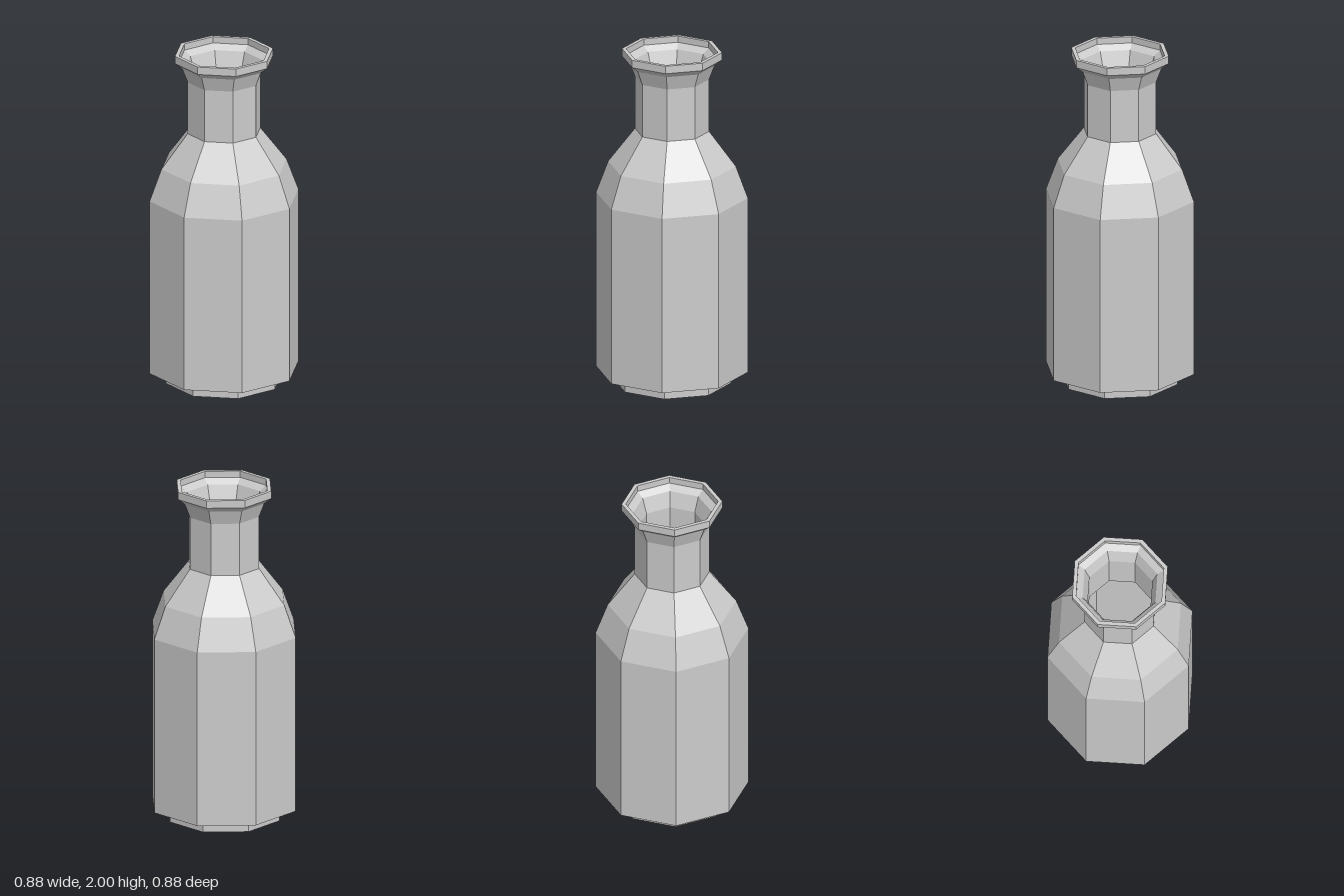
import * as THREE from 'three';

const SIDES = 8;

export function createModel() {
  const model = new THREE.Group();
  model.name = 'bottle';
  const material = new THREE.MeshStandardMaterial({ color: 0xcccccc, flatShading: true });

  // Turns a [radius, height] profile into an eight-sided surface
  const turn = (name, profile) => {
    const points = profile.map(([r, y]) => new THREE.Vector2(r, y));
    const mesh = new THREE.Mesh(new THREE.LatheGeometry(points, SIDES), material);
    mesh.name = name;
    model.add(mesh);
  };

  // Recessed foot with closed underside
  turn('foot', [[0, 0], [0.342, 0], [0.342, 0.07]]);

  // Straight body, two-step shoulder and neck
  turn('body', [
    [0.342, 0.07], [0.44, 0.07], [0.44, 1.125],
    [0.37, 1.315], [0.215, 1.52], [0.215, 1.835],
  ]);

  // Flared mouth with a flat-topped lip
  turn('mouth', [
    [0.215, 1.835], [0.247, 1.92], [0.29, 1.955], [0.29, 2],
    [0.266, 2], [0.266, 1.962], [0.227, 1.932], [0.196, 1.84],
  ]);

  // Hollow inside, running from the mouth down to the floor
  turn('interior', [
    [0.196, 1.84], [0.196, 1.51], [0.35, 1.305],
    [0.42, 1.12], [0.42, 0.09], [0, 0.09],
  ]);

  return model;
}
